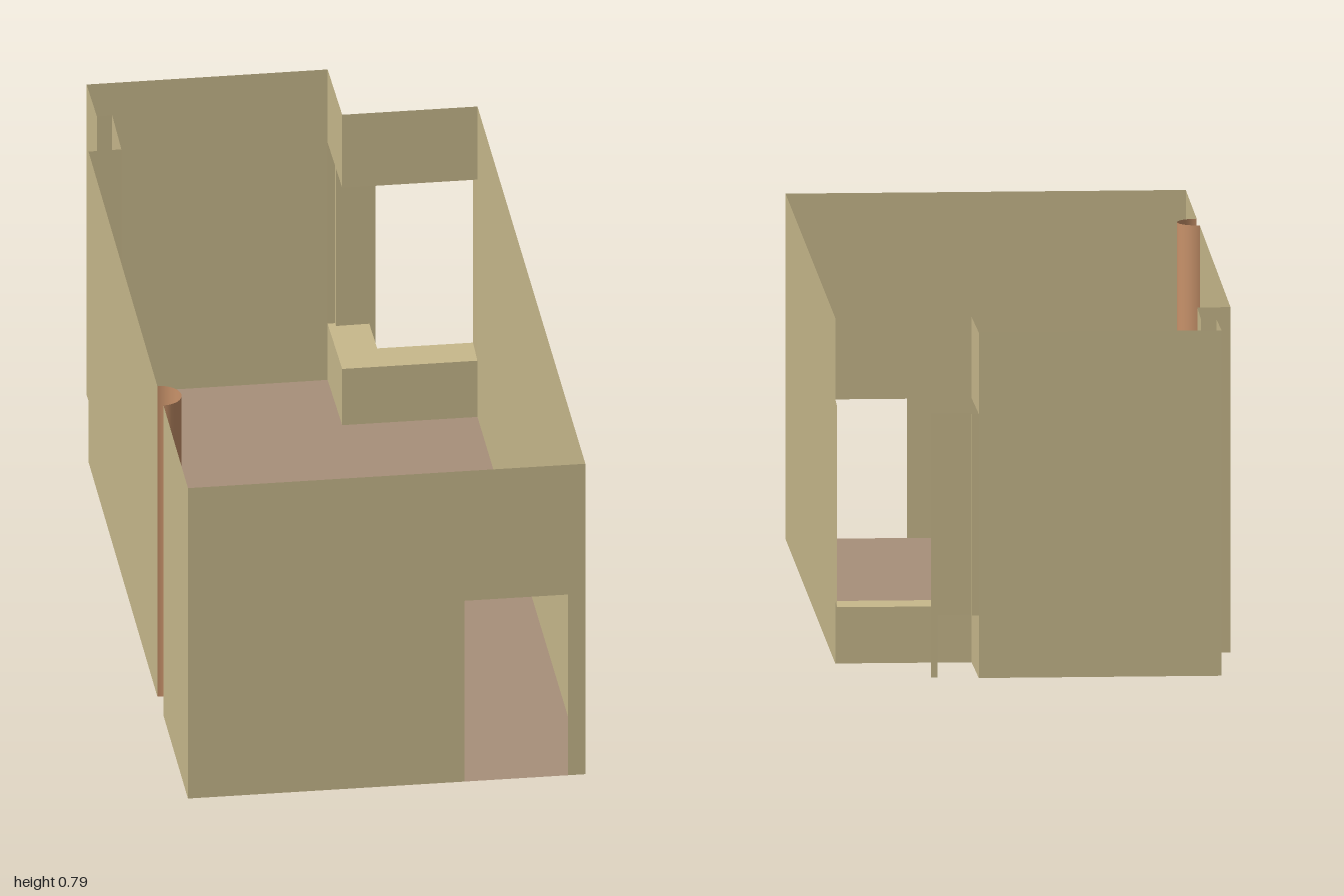
import * as THREE from 'three';

const HEIGHT = 0.79, SILL = 0.143, LINTEL = 0.604, DOOR_TOP = 0.46;

const material = (name, color) =>
  new THREE.MeshStandardMaterial({ name, color, side: THREE.DoubleSide });

// Thin upright wall following a plan path of [x, z] points
function wall(name, path, y0, y1, mat) {
  const pos = [];
  for (let i = 0; i < path.length - 1; i++) {
    const [ax, az] = path[i], [bx, bz] = path[i + 1];
    pos.push(ax, y0, az, bx, y0, bz, bx, y1, bz);
    pos.push(ax, y0, az, bx, y1, bz, ax, y1, az);
  }
  const geo = new THREE.BufferGeometry();
  geo.setAttribute('position', new THREE.Float32BufferAttribute(pos, 3));
  geo.computeVertexNormals();
  const mesh = new THREE.Mesh(geo, mat);
  mesh.name = name;
  return mesh;
}

// Flat horizontal slab from a plan outline
function slab(name, outline, y, mat) {
  const shape = new THREE.Shape(outline.map(([x, z]) => new THREE.Vector2(x, -z)));
  const mesh = new THREE.Mesh(new THREE.ShapeGeometry(shape).rotateX(-Math.PI / 2), mat);
  mesh.position.y = y;
  mesh.name = name;
  return mesh;
}

export function createModel() {
  const group = new THREE.Group();
  group.name = 'room';
  const wallMat = material('khaki wall', 0xc8b98c);
  const floorMat = material('brown floor', 0xa8907a);
  const columnMat = material('copper column', 0xc8926a);

  // Plan of the room
  const frontLeft = [0.44, 1], frontRight = [-0.465, 0.986];
  const doorA = [0.165, 0.9955], doorB = [0.4, 0.9994];
  const colX = -0.46, colZ = 0.53, colR = 0.048;
  const backEnd = [0.148, -0.993];
  const sideLong = [[colX, colZ - colR], [-0.445, -0.675], [-0.37, -0.675],
    [-0.366, -0.842], [-0.401, -0.842], [-0.401, -1], backEnd];
  const cornerIn = [0.148, -0.769], cornerOut = [0.456, -0.764];

  // Floor, cut around the half-round column
  const arc = [];
  for (let i = 0; i <= 16; i++) {
    const a = Math.PI * i / 16;
    arc.push([colX + colR * Math.sin(a), colZ + colR * Math.cos(a)]);
  }
  group.add(slab('floor', [frontLeft, frontRight, ...arc, ...sideLong.slice(1), cornerIn, cornerOut], 0, floorMat));

  // Main walls
  group.add(
    wall('rightAndBackWall', sideLong, 0, HEIGHT, wallMat),
    wall('rightFrontWall', [frontRight, [colX, colZ + colR]], 0, HEIGHT, wallMat),
    wall('leftWall', [frontLeft, cornerOut], 0, HEIGHT, wallMat),
    wall('frontWallWide', [frontRight, doorA], 0, HEIGHT, wallMat),
    wall('frontWallNarrow', [doorB, frontLeft], 0, HEIGHT, wallMat),
    wall('doorHeader', [doorA, doorB], DOOR_TOP, HEIGHT, wallMat),
  );

  // Half-round column in the side wall
  const column = new THREE.Mesh(
    new THREE.CylinderGeometry(colR, colR, HEIGHT, 16, 1, true, 0, Math.PI), columnMat);
  column.position.set(colX, HEIGHT / 2, colZ);
  column.name = 'column';
  group.add(column);

  // Inset corner with a wrap-around window
  const inset = [backEnd, cornerIn, cornerOut];
  const jamb = [backEnd, [0.165, -0.993], [0.165, -0.979], [0.241, -0.979]];
  const jambEnd = [0.459, -0.853];
  group.add(
    wall('windowBase', inset, 0, SILL, wallMat),
    wall('windowHeader', inset, LINTEL, HEIGHT, wallMat),
    wall('backJamb', jamb, SILL, LINTEL, wallMat),
    wall('jambPost', [[0.241, -0.979], [0.255, -0.979]], 0, LINTEL, wallMat),
    wall('sideJamb', [cornerOut, jambEnd], SILL, LINTEL, wallMat),
    slab('windowSill', [...jamb, [0.241, -0.857], jambEnd, cornerOut, cornerIn], SILL, wallMat),
  );
  return group;
}
